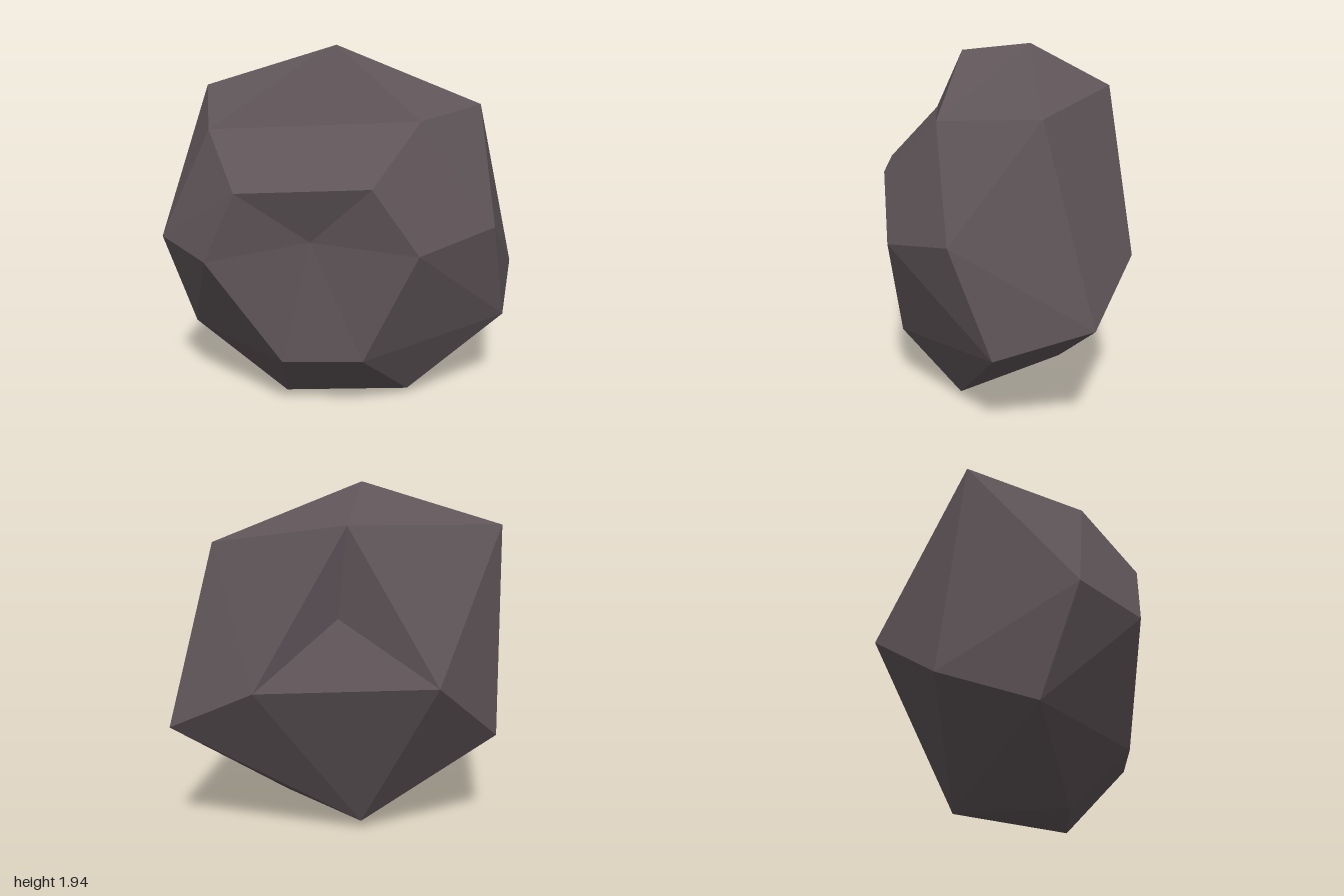
import * as THREE from 'three';
import { ConvexGeometry } from 'three/addons/geometries/ConvexGeometry.js';

// Corner points of the boulder
const corners = {
  // crown
  peak: [0.03, 1.94, -0.13], brow: [-0.27, 1.90, 0.12],
  topFront: [0.07, 1.565, 0.59], topLeft: [0.66, 1.61, 0.41],
  topBackLeft: [0.39, 1.71, -0.40], topBack: [-0.53, 1.705, -0.67],
  topRight: [-0.80, 1.515, -0.11],
  // middle belt
  cheek: [-0.84, 1.23, 0.23], frontHigh: [-0.30, 1.26, 0.665],
  frontMid: [-0.10, 0.915, 0.80], frontLeft: [0.41, 1.0, 0.81],
  sideLeft: [0.80, 0.86, -0.13], back: [0.13, 0.895, -0.81],
  sideRight: [-1.0, 0.92, -0.32], sideRightFront: [-0.96, 0.865, 0.11],
  // lower belt
  tipLeft: [0.99, 0.62, 0.375], lowFrontLeft: [0.61, 0.44, 0.70],
  lowFront: [-0.29, 0.32, 0.58], lowFrontRight: [-0.62, 0.305, 0.31],
  lowRight: [-0.78, 0.36, -0.40], lowBack: [-0.42, 0.54, -0.755],
  // foot
  footRight: [-0.44, 0, 0.05], footFront: [0.10, 0.03, 0.475], footBack: [0.16, 0.045, -0.265],
};

// Hollows: hull faces inside each rim are replaced by a fan around the apex
const hollows = [
  { rim: ['topBackLeft', 'sideLeft', 'back'], apex: [0.39, 1.23, -0.33] },
  { rim: ['cheek', 'frontHigh', 'frontMid', 'lowFront', 'lowFrontRight', 'sideRightFront'], apex: [-0.49, 0.96, 0.39] },
  { rim: ['brow', 'topRight', 'cheek', 'frontHigh', 'topFront'], apex: 'topRight' },
  { rim: ['brow', 'peak', 'topBack', 'topRight'], apex: 'topRight' },
  { rim: ['brow', 'peak', 'topLeft', 'topFront'], apex: 'peak' },
];

// Convex hull as a list of triangles of corner names
function hullTriangles(points) {
  const pos = new ConvexGeometry(Object.values(points)).getAttribute('position');
  const names = Object.keys(points);
  const v = new THREE.Vector3();
  const nameAt = (i) => {
    v.fromBufferAttribute(pos, i);
    return names.find((n) => points[n].distanceTo(v) < 1e-3);
  };
  const triangles = [];
  for (let i = 0; i < pos.count; i += 3) triangles.push([nameAt(i), nameAt(i + 1), nameAt(i + 2)]);
  return triangles;
}

// Removes the faces inside a rim and closes the gap towards the apex
function carve(triangles, rim, apex) {
  const inside = (t) => t.every((n) => rim.includes(n));
  const edges = triangles.filter(inside).flatMap(([a, b, c]) => [[a, b], [b, c], [c, a]]);
  const border = edges.filter(([a, b]) => !edges.some(([c, d]) => c === b && d === a));
  const fan = border.filter((e) => !e.includes(apex)).map(([a, b]) => [a, b, apex]);
  return [...triangles.filter((t) => !inside(t)), ...fan];
}

export function createModel() {
  const points = {};
  for (const [name, p] of Object.entries(corners)) points[name] = new THREE.Vector3(...p);

  let triangles = hullTriangles(points);
  hollows.forEach(({ rim, apex }, i) => {
    let name = apex;
    if (Array.isArray(apex)) {
      name = 'hollow' + i;
      points[name] = new THREE.Vector3(...apex);
    }
    triangles = carve(triangles, rim, name);
  });

  const geometry = new THREE.BufferGeometry().setFromPoints(triangles.flat().map((n) => points[n]));
  geometry.computeVertexNormals();

  const stone = new THREE.MeshStandardMaterial({ color: 0x5f5559 });
  stone.name = 'dark stone';
  stone.flatShading = true;

  const boulder = new THREE.Mesh(geometry, stone);
  boulder.name = 'boulder';
  const group = new THREE.Group();
  group.name = 'rock';
  group.add(boulder);
  return group;
}
